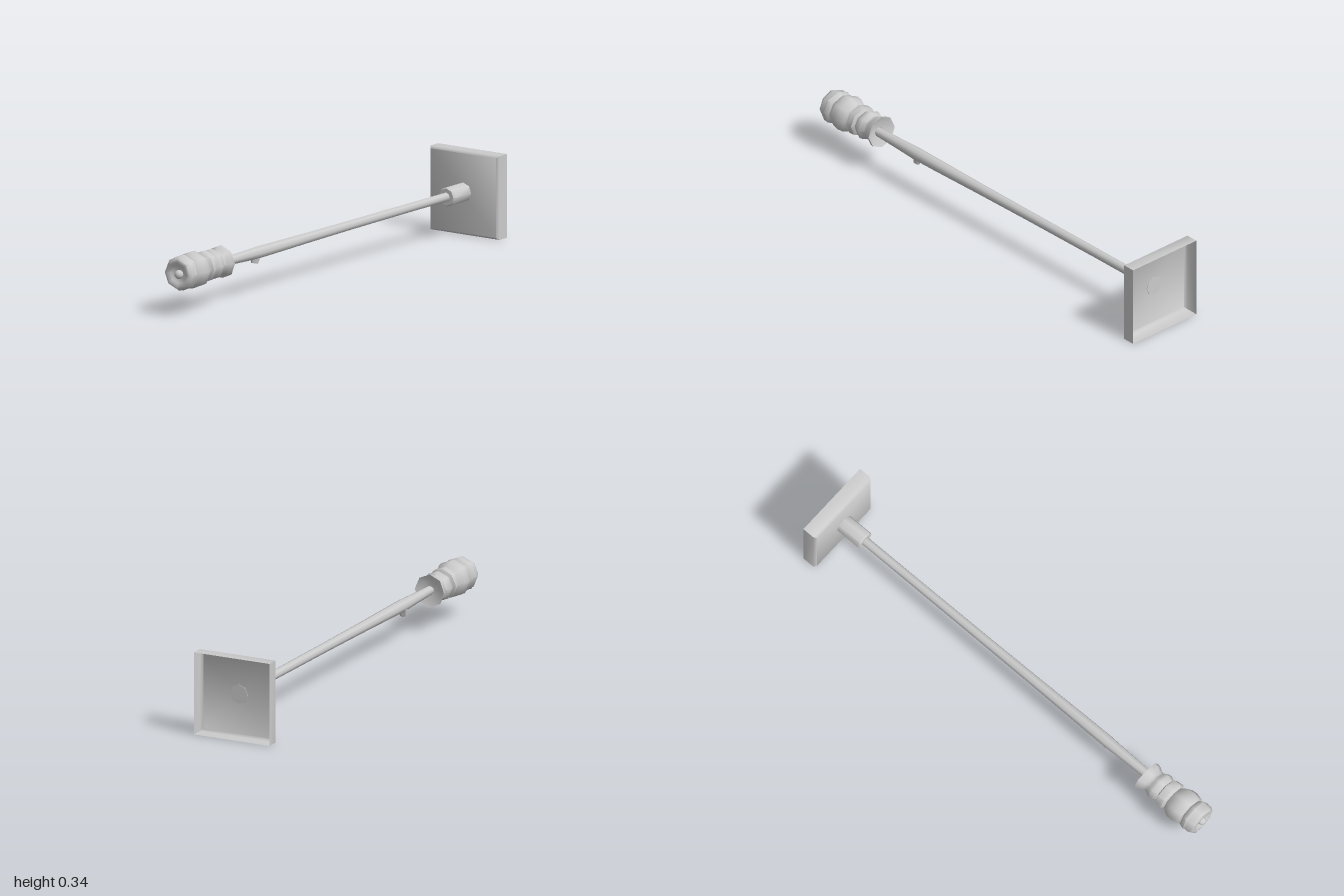
import * as THREE from 'three';
import { toCreasedNormals } from 'three/addons/utils/BufferGeometryUtils.js';

const CY = 0.172; // height of the long axis
const material = new THREE.MeshStandardMaterial({ color: 0xcccccc, side: THREE.DoubleSide });

// Lathe running along z from [radius, z] pairs, with corners on the x and y axes
function latheZ(profile, sides) {
  const points = profile.map(([r, z]) => new THREE.Vector2(r, z));
  return new THREE.LatheGeometry(points, sides).rotateX(Math.PI / 2);
}

function reshape(geometry, rule) {
  const pos = geometry.attributes.position;
  const v = new THREE.Vector3();
  for (let i = 0; i < pos.count; i++) {
    rule(v.fromBufferAttribute(pos, i));
    pos.setXYZ(i, v.x, v.y, v.z);
  }
  geometry.computeVertexNormals();
  return geometry;
}

export function createModel() {
  const group = new THREE.Group();
  const add = (name, geometry, x = 0, y = CY, z = 0) => {
    const mesh = new THREE.Mesh(geometry, material);
    mesh.name = name;
    mesh.position.set(x, y, z);
    group.add(mesh);
    return mesh;
  };

  // Square head: a shallow tray, open at the back, with a bevelled front edge
  const k = Math.SQRT2;
  const head = latheZ([[0.172 * k, -1], [0.172 * k, -0.947], [0.163 * k, -0.936], [0, -0.936]], 4);
  head.rotateZ(Math.PI / 4);
  add('head', toCreasedNormals(head, 1));

  // Socket holding the shaft
  const socket = latheZ([[0, -0.938], [0.04, -0.938], [0.04, -0.826], [0.036, -0.82], [0, -0.82]], 8);
  add('socket', toCreasedNormals(socket, 0.9), 0, 0.176);

  // Slightly swelling, gently bent shaft
  const shaft = latheZ([
    [0.019, -0.9], [0.019, -0.6], [0.02, -0.2], [0.022, 0.1],
    [0.025, 0.35], [0.026, 0.47], [0.022, 0.58], [0.018, 0.72],
  ], 8);
  reshape(shaft, (v) => {
    const bend = Math.max(0, 1 - Math.abs(v.z - 0.42) / 0.9);
    v.x += 0.003 * bend;
    v.y -= 0.004 * bend;
  });
  add('shaft', toCreasedNormals(shaft, 0.9), 0, 0.176);

  // Cut twig stub under the shaft
  const stub = new THREE.CylinderGeometry(0.022, 0.014, 0.035, 6);
  add('twigStub', toCreasedNormals(stub, 0.9), 0, 0.147, 0.468).rotation.x = -0.25;

  // Turned grip with uneven, slightly tilted rings
  const grip = latheZ([
    [0.015, 0.7], [0.045, 0.696], [0.068, 0.687], [0.064, 0.705], [0.054, 0.72],
    [0.052, 0.735], [0.062, 0.75], [0.064, 0.765], [0.056, 0.782], [0.05, 0.79],
    [0.064, 0.797], [0.066, 0.825], [0.054, 0.834], [0.064, 0.844], [0.075, 0.865],
    [0.077, 0.89], [0.07, 0.918], [0.062, 0.927], [0.068, 0.933], [0.074, 0.95],
    [0.07, 0.958], [0.071, 0.972], [0.062, 0.988], [0.05, 0.99], [0.038, 0.982],
    [0.026, 0.974], [0, 0.974],
  ], 8);
  reshape(grip, (v) => {
    const fade = Math.min(1, Math.max(0, (0.985 - v.z) / 0.05));
    const tilt = 0.07 * Math.sin(v.z * 38) * fade;
    v.z += tilt * v.y + 0.05 * fade * v.x;
  });
  add('grip', toCreasedNormals(grip, 0.95), -0.004, 0.175);

  // Round button at the end of the grip
  const button = new THREE.SphereGeometry(0.019, 10, 8).rotateX(Math.PI / 2);
  add('endButton', button, -0.001, 0.173, 0.981);

  return group;
}
